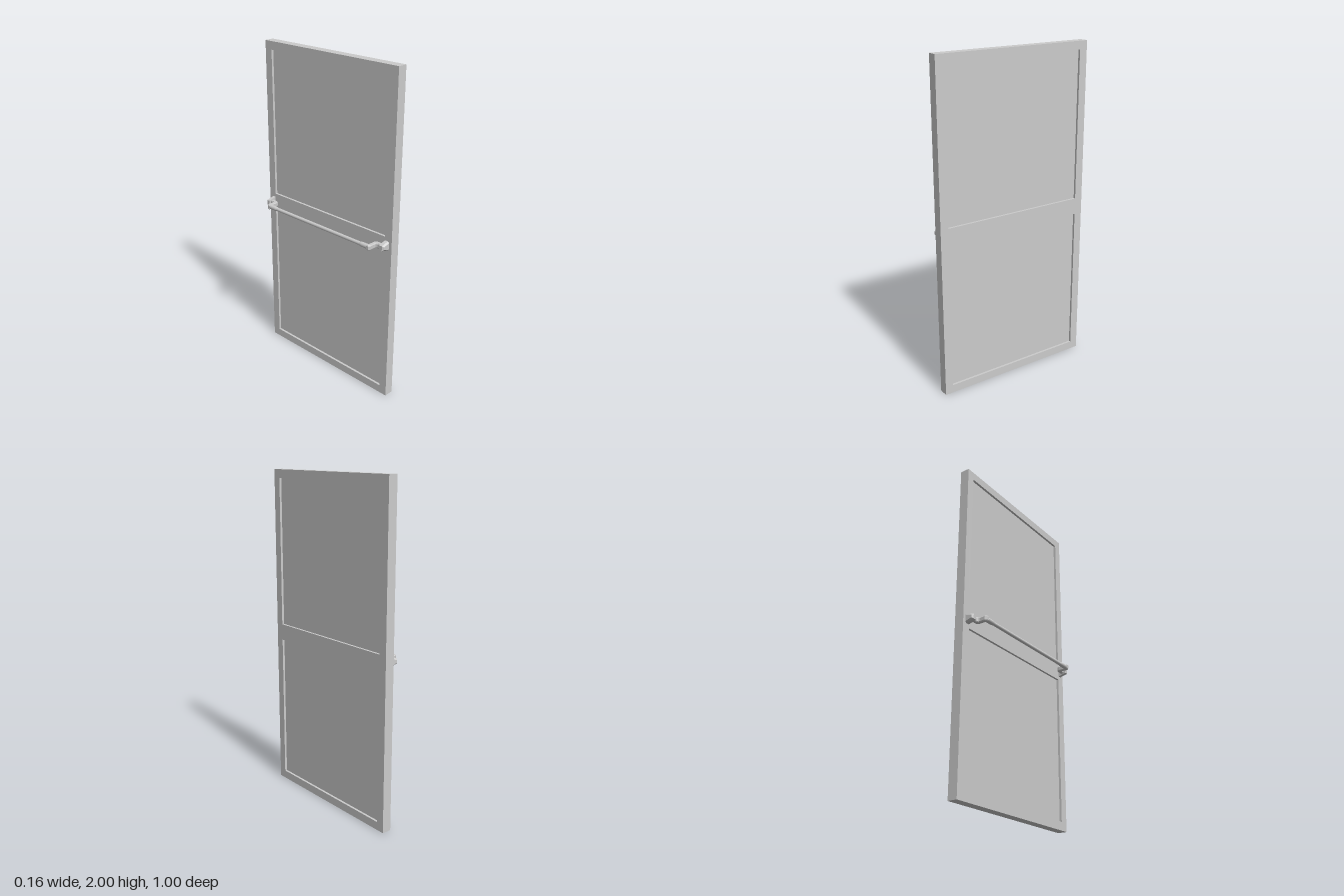
import * as THREE from 'three';
import { ConvexGeometry } from 'three/addons/geometries/ConvexGeometry.js';

const material = new THREE.MeshStandardMaterial({ color: 0xcccccc });
const flat = new THREE.MeshStandardMaterial({ color: 0xcccccc, flatShading: true });

function part(name, geometry, mat = flat) {
  const mesh = new THREE.Mesh(geometry, mat);
  mesh.name = name;
  return mesh;
}

function rect(target, x0, y0, x1, y1) {
  target.moveTo(x0, y0).lineTo(x1, y0).lineTo(x1, y1).lineTo(x0, y1).closePath();
  return target;
}

// Door leaf: a frame with two openings, each filled by a recessed panel
function createDoor() {
  const door = new THREE.Group();
  door.name = 'door';
  const outline = rect(new THREE.Shape(), -0.5, 0, 0.5, 2);
  for (const y of [0.05, 1.05]) {
    outline.holes.push(rect(new THREE.Path(), -0.45, y, 0.45, y + 0.9));
    const panel = part('panel', new THREE.BoxGeometry(0.03, 0.9, 0.9));
    panel.position.set(0.049, y + 0.45, 0);
    door.add(panel);
  }
  const frame = new THREE.ExtrudeGeometry(outline, { depth: 0.058, bevelEnabled: false });
  frame.rotateY(Math.PI / 2).translate(0.02, 0, 0);
  door.add(part('frame', frame));
  return door;
}

// Tapered wall mount with a chamfered outer face
function createMount(side) {
  const points = [];
  const section = (z, x, wide, narrow) => {
    for (const s of [-1, 1]) {
      points.push(new THREE.Vector3(0.02, s * wide, side * z));
      points.push(new THREE.Vector3(x, s * narrow, side * z));
    }
  };
  section(0.452, -0.031, 0.028, 0.015);
  section(0.473, -0.031, 0.028, 0.015);
  section(0.482, -0.023, 0.02, 0.008);
  return part('mount', new ConvexGeometry(points));
}

// Cranked arm joining the mount to the end of the bar
function createArm(side) {
  const inset = 0.003;
  const outline = [
    [-0.076, 0.403], [-0.019, 0.403], [-0.008, 0.405], [-0.001, 0.417], [-0.001, 0.456],
    [-0.017, 0.456], [-0.017, 0.433], [-0.023, 0.421], [-0.034, 0.418], [-0.066, 0.42], [-0.076, 0.413],
  ].map(([x, z]) => new THREE.Vector2(x, side * z));
  const geometry = new THREE.ExtrudeGeometry(new THREE.Shape(outline), {
    depth: 0.02, bevelThickness: 0.005, bevelSize: inset, bevelSegments: 1,
  });
  geometry.rotateX(Math.PI / 2).translate(0, 0.01, 0);
  return part('arm', geometry);
}

// Bar with a slightly thicker sleeve at both ends
function createBar() {
  const half = [[0.011, 0.34], [0.013, 0.345], [0.0145, 0.36], [0.0145, 0.402]];
  const profile = [
    ...half.map(([r, z]) => new THREE.Vector2(r, -z)).reverse(),
    ...half.map(([r, z]) => new THREE.Vector2(r, z)),
  ];
  const bar = part('bar', new THREE.LatheGeometry(profile, 16).rotateX(Math.PI / 2), material);
  bar.position.x = -0.063;
  return bar;
}

export function createModel() {
  const model = new THREE.Group();
  model.name = 'doorWithPushBar';
  const handle = new THREE.Group();
  handle.name = 'pushBar';
  handle.position.y = 1;
  handle.add(createBar());
  for (const side of [-1, 1]) handle.add(createMount(side), createArm(side));
  model.add(createDoor(), handle);
  return model;
}
